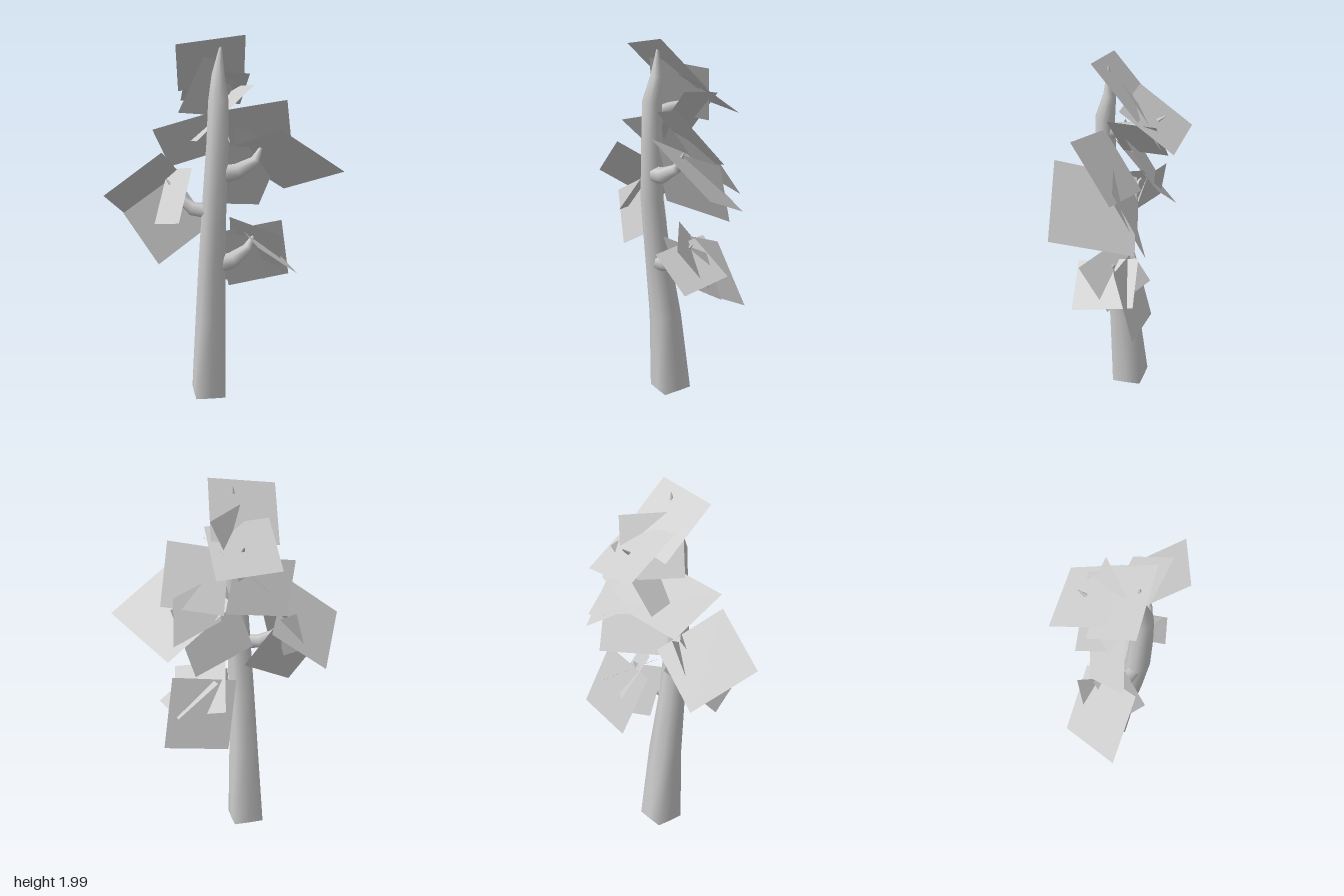
import * as THREE from 'three';

const bark = new THREE.MeshStandardMaterial({ color: 0xcccccc });
const leaf = new THREE.MeshStandardMaterial({ color: 0xcccccc, side: THREE.DoubleSide });
const V = (p) => new THREE.Vector3(p[0], p[1], p[2]);

// Tapering limb: each station is [x, y, z, radius, squareness], swept with a few sides
function limb(name, stations, sides) {
  const pos = [], idx = [];
  const up = new THREE.Vector3(0, 1, 0), q = new THREE.Quaternion();
  stations.forEach((s, i) => {
    const a = V(stations[Math.max(i - 1, 0)]);
    const b = V(stations[Math.min(i + 1, stations.length - 1)]);
    q.setFromUnitVectors(up, b.sub(a).normalize());
    for (let k = 0; k < sides; k++) {
      const t = (k / sides) * Math.PI * 2;
      const r = s[3] * (1 + (s[4] ?? 0) * Math.abs(Math.sin(2 * t)));
      const p = new THREE.Vector3(Math.cos(t) * r, 0, Math.sin(t) * r).applyQuaternion(q).add(V(s));
      pos.push(p.x, p.y, p.z);
      if (i < stations.length - 1) {
        const c = i * sides + k, n = i * sides + (k + 1) % sides;
        idx.push(c, c + sides, n, n, c + sides, n + sides);
      }
    }
  });
  // flat cap at the start, with its own vertices
  const start = pos.length / 3;
  pos.push(...pos.slice(0, sides * 3));
  for (let k = 1; k < sides - 1; k++) idx.push(start, start + k, start + k + 1);
  const g = new THREE.BufferGeometry();
  g.setAttribute('position', new THREE.Float32BufferAttribute(pos, 3));
  g.setIndex(idx);
  g.computeVertexNormals();
  const m = new THREE.Mesh(g, bark);
  m.name = name;
  return m;
}

// Flat leaf card from three corners; the fourth completes the parallelogram
function card(name, a, b, c) {
  const d = a.map((v, i) => v + c[i] - b[i]);
  const g = new THREE.BufferGeometry();
  g.setAttribute('position', new THREE.Float32BufferAttribute([...a, ...b, ...c, ...d], 3));
  g.setIndex([0, 1, 2, 0, 2, 3]);
  g.computeVertexNormals();
  const m = new THREE.Mesh(g, leaf);
  m.name = name;
  return m;
}

export function createModel() {
  const tree = new THREE.Group();
  tree.name = 'tree';

  // Trunk: squared foot, rounder and thinner above
  tree.add(limb('trunk', [
    [-0.065, 0.015, 0, 0.085, 0.38], [-0.06, 0.47, 0.035, 0.083, 0.1], [-0.058, 0.8, 0.08, 0.073],
    [-0.05, 1.15, 0.12, 0.064], [-0.035, 1.45, 0.127, 0.058], [-0.03, 1.67, 0.127, 0.053],
    [-0.027, 1.8, 0.1, 0.034], [-0.012, 1.96, 0.1, 0.003],
  ], 8));

  // Branches
  const branches = {
    lowerLeftBranch: [[-0.06, 0.78, 0.09, 0.05], [0.05, 0.81, 0.09, 0.044], [0.14, 0.86, 0.05, 0.028], [0.19, 0.94, 0.01, 0.003]],
    upperLeftBranch: [[-0.05, 1.28, 0.12, 0.05], [0.07, 1.3, 0.12, 0.042], [0.17, 1.35, 0.1, 0.028], [0.215, 1.44, 0.08, 0.003]],
    rightBranch: [[-0.06, 1.09, 0.11, 0.042], [-0.16, 1.1, 0.08, 0.037], [-0.22, 1.15, 0.04, 0.025], [-0.29, 1.25, 0, 0.003]],
    backBranch: [[-0.03, 1.6, 0.11, 0.04], [-0.02, 1.63, 0.02, 0.035], [-0.01, 1.65, -0.09, 0.025], [0, 1.735, -0.2, 0.003]],
  };
  for (const [name, path] of Object.entries(branches)) tree.add(limb(name, path, 6));

  // Leaf cards grouped by the limb that carries them
  const foliage = {
    crownLeaf: [
      [[-0.25, 1.955, 0.15], [0.105, 2.0, 0.15], [0.145, 1.745, -0.1]],
      [[-0.175, 1.63, -0.295], [0.16, 1.605, -0.29], [0.16, 1.795, -0.01]],
      [[-0.1, 1.89, 0.1], [0.15, 1.845, -0.105], [0.025, 1.555, -0.19]],
      [[-0.135, 1.455, 0.065], [-0.19, 1.43, -0.17], [0.115, 1.715, -0.185]],
    ],
    middleLeaf: [
      [[-0.37, 1.53, 0.13], [-0.02, 1.61, 0.04], [0.09, 1.38, -0.17]],
      [[0, 1.62, 0.12], [0.317, 1.675, 0.185], [0.4, 1.4, -0.04]],
      [[0, 1.44, 0.13], [0.35, 1.38, -0.05], [0.25, 1.05, -0.18]],
    ],
    upperLeftLeaf: [
      [[0.26, 1.54, 0.295], [0.63, 1.295, 0.19], [0.39, 1.14, -0.165]],
      [[0.063, 1.52, 0.05], [0.33, 1.435, -0.03], [0.36, 1.225, -0.17]],
    ],
    rightLeaf: [
      [[-0.33, 1.42, 0.18], [-0.627, 1.2, 0.15], [-0.47, 1.0, -0.15]],
      [[-0.525, 1.09, 0.08], [-0.35, 0.82, 0.14], [-0.06, 0.99, 0.02]],
      [[-0.365, 1.03, 0.1], [-0.25, 1.055, 0.215], [-0.16, 1.315, 0.06]],
      [[-0.37, 1.1, -0.08], [-0.3, 1.33, -0.13], [-0.22, 1.24, 0]],
    ],
    lowerLeftLeaf: [
      [[0, 0.935, -0.04], [0.35, 0.99, -0.04], [0.425, 0.64, -0.165]],
      [[0.02, 0.95, 0.09], [0.275, 0.91, -0.02], [0.275, 0.63, -0.12]],
      [[0.05, 1.03, 0.01], [0.3, 0.955, 0.17], [0.337, 0.735, 0]],
      [[0.165, 0.91, 0.22], [0.39, 0.745, 0.18], [0.34, 0.79, -0.14]],
    ],
  };
  for (const [name, list] of Object.entries(foliage)) {
    list.forEach((corners, i) => tree.add(card(name + (i + 1), ...corners)));
  }
  return tree;
}
